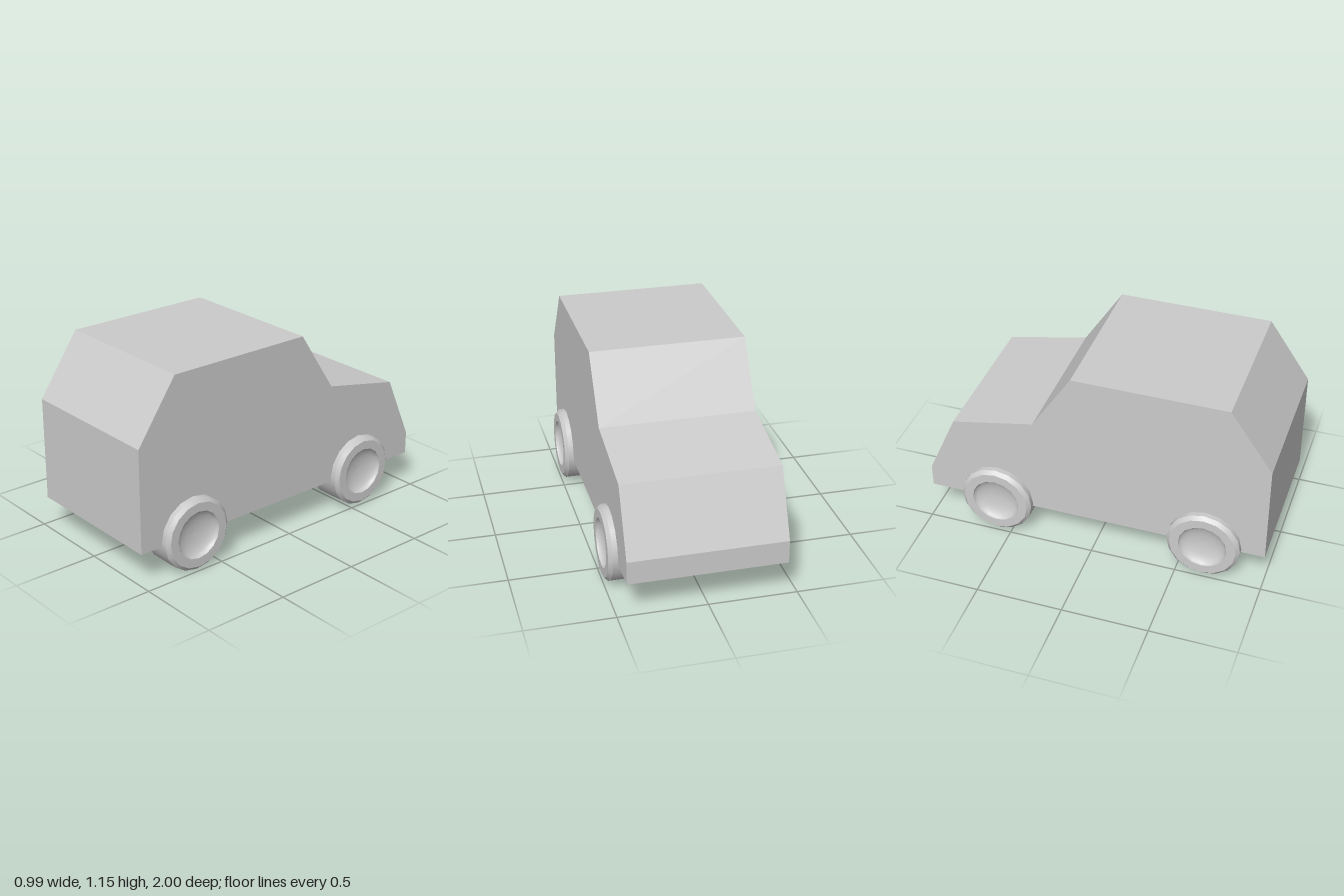
import * as THREE from 'three';

const material = new THREE.MeshStandardMaterial({ color: 0xcccccc });
const SIDES = 16;

// Wheel profile sections as [radius, distance from the car's centre plane];
// separate sections keep the edges between them sharp.
const dish = [];
for (let i = 0; i <= 6; i++) {
  const a = (i / 6) * Math.PI / 2;
  dish.push([0.14 * Math.cos(a), 0.495 - 0.05 * Math.sin(a)]);
}
const wheelSections = {
  innerCap: [[0, 0.29], [0.213, 0.29]],
  tread: [[0.213, 0.29], [0.213, 0.475]],
  bevel: [[0.213, 0.475], [0.192, 0.495]],
  rim: [[0.192, 0.495], [0.14, 0.495]],
  hubDish: dish,
};

function createWheel(name, side, z) {
  const wheel = new THREE.Group();
  wheel.name = name;
  for (const [part, points] of Object.entries(wheelSections)) {
    const profile = points.map(([r, d]) => new THREE.Vector2(Math.max(r, 0), d));
    const mesh = new THREE.Mesh(new THREE.LatheGeometry(profile, SIDES), material);
    mesh.name = part;
    wheel.add(mesh);
  }
  // Turn the lathe axis outward along x
  wheel.rotation.z = -side * Math.PI / 2;
  wheel.position.set(0, 0.216, z);
  return wheel;
}

function createBody() {
  // Side outline as [z, y], extruded across the width
  const outline = [
    [1, 0.197], [1, 0.8], [0.76, 1.15], [-0.125, 1.15],
    [-0.355, 0.797], [-0.835, 0.7], [-1, 0.33], [-1, 0.197],
  ];
  const shape = new THREE.Shape(outline.map(([z, y]) => new THREE.Vector2(-z, y)));
  const geometry = new THREE.ExtrudeGeometry(shape, { depth: 0.89, bevelEnabled: false });
  geometry.translate(0, 0, -0.445);
  geometry.rotateY(Math.PI / 2);
  const body = new THREE.Mesh(geometry, material);
  body.name = 'body';
  return body;
}

export function createModel() {
  const car = new THREE.Group();
  car.name = 'car';
  car.add(createBody());
  for (const [sideName, side] of [['Left', 1], ['Right', -1]]) {
    car.add(createWheel(`cabinEndWheel${sideName}`, side, 0.652));
    car.add(createWheel(`hoodEndWheel${sideName}`, side, -0.585));
  }
  return car;
}
